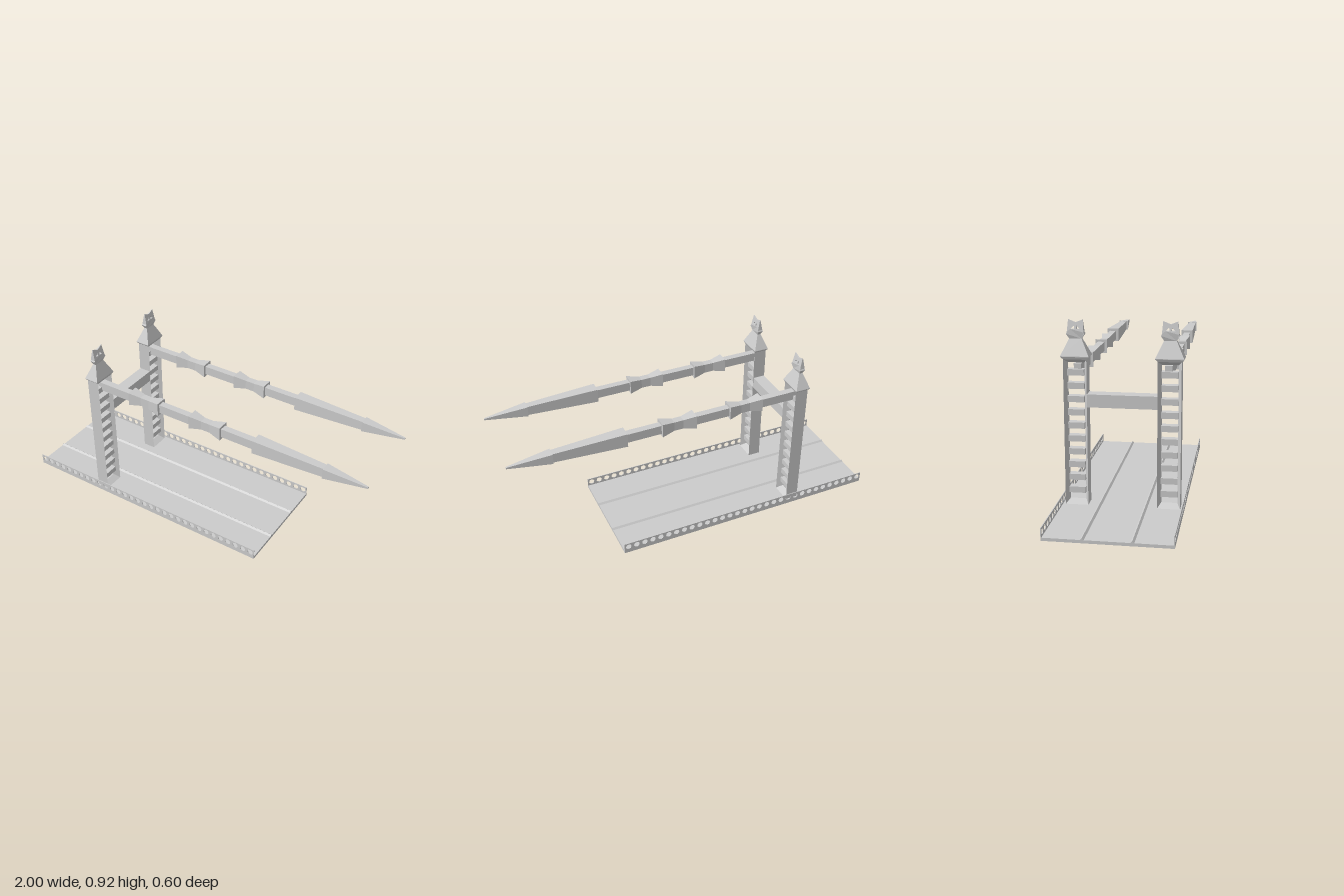
import * as THREE from 'three';

const material = new THREE.MeshStandardMaterial({ color: 0xcccccc, flatShading: true, side: THREE.DoubleSide });

function part(parent, name, geometry, x = 0, y = 0, z = 0) {
  const mesh = new THREE.Mesh(geometry, material);
  mesh.name = name;
  mesh.position.set(x, y, z);
  parent.add(mesh);
  return mesh;
}

// Rectangular sections [x, half height, half depth] joined along x
function loft(stations, capped = true) {
  const corners = [[1, 1], [-1, 1], [-1, -1], [1, -1]];
  const rings = stations.map(([x, hy, hz]) => corners.map(([a, b]) => [x, a * hy, b * hz]));
  const pos = [];
  const quad = (a, b, c, d) => [a, b, c, a, c, d].forEach(p => pos.push(...p));
  for (let s = 0; s < rings.length - 1; s++) {
    for (let i = 0; i < 4; i++) {
      const j = (i + 1) % 4;
      quad(rings[s][i], rings[s][j], rings[s + 1][j], rings[s + 1][i]);
    }
  }
  if (capped) {
    quad(...[...rings[0]].reverse());
    quad(...rings[rings.length - 1]);
  }
  const geometry = new THREE.BufferGeometry();
  geometry.setAttribute('position', new THREE.Float32BufferAttribute(pos, 3));
  geometry.computeVertexNormals();
  return geometry;
}

const shapeOf = points => new THREE.Shape(points.map(p => new THREE.Vector2(...p)));

// Thin side panel pierced by a row of round openings
function railingGeometry(length) {
  const shape = shapeOf([[0, 0], [length, 0], [length, 0.06], [0, 0.06]]);
  const count = 32, step = length / count;
  for (let i = 0; i < count; i++) {
    const hole = [];
    for (let k = 0; k < 8; k++) {
      const a = -k * Math.PI / 4;
      hole.push(new THREE.Vector2((i + 0.5) * step + 0.016 * Math.cos(a), 0.038 + 0.016 * Math.sin(a)));
    }
    shape.holes.push(new THREE.Path(hole));
  }
  return new THREE.ExtrudeGeometry(shape, { depth: 0.004, bevelEnabled: false });
}

// Eared finial with two triangular eyes, thinning towards the top
function finialGeometry() {
  const half = [[0.03, 0.83], [0.044, 0.853], [0.04, 0.86], [0.035, 0.92]];
  const mirrored = [...half].reverse().map(([x, y]) => [-x, y]);
  const shape = shapeOf([...half, [0, 0.906], ...mirrored]);
  for (const s of [1, -1]) {
    shape.holes.push(new THREE.Path([[0.004, 0.875], [0.024, 0.875], [0.007, 0.891]]
      .map(([x, y]) => new THREE.Vector2(s * x, y))));
  }
  const geometry = new THREE.ExtrudeGeometry(shape, { depth: 2, bevelEnabled: false });
  geometry.translate(0, 0, -1);
  const p = geometry.attributes.position;
  for (let i = 0; i < p.count; i++) {
    const y = p.getY(i);
    const t = y < 0.853 ? 0.009 + (y - 0.83) * 0.25 : 0.015 - (y - 0.853) * 0.2;
    p.setZ(i, p.getZ(i) * t);
  }
  geometry.rotateY(Math.PI / 2);
  geometry.computeVertexNormals();
  return geometry;
}

function createTower() {
  const tower = new THREE.Group();
  tower.name = 'tower';
  // Frame whose opening narrows towards its middle
  part(tower, 'towerFrame', loft([
    [-0.035, 0.36, 0.056], [0.035, 0.36, 0.056], [0, 0.34, 0.039], [-0.035, 0.36, 0.056],
  ], false), 0, 0.375);
  for (let i = 0; i < 10; i++) {
    part(tower, 'rung', new THREE.BoxGeometry(0.04, 0.03, 0.08), 0, 0.085 + i * 0.065);
  }
  // Flared cap
  const cap = loft([[0.735, 0.035, 0.056], [0.747, 0.04, 0.068], [0.75, 0.04, 0.068], [0.83, 0.009, 0.03]]);
  part(tower, 'towerCap', cap.rotateZ(Math.PI / 2));
  part(tower, 'finial', finialGeometry());
  return tower;
}

// Square pole with two waisted collars and a long pointed head
function createLance() {
  const lance = new THREE.Group();
  lance.name = 'lance';
  part(lance, 'pole', loft([[-0.555, 0.024, 0.018], [0.41, 0.024, 0.018]]));
  for (const x of [-0.247, 0.128]) {
    part(lance, 'collar', loft([
      [-0.093, 0.037, 0.032], [-0.025, 0.025, 0.019], [0.025, 0.025, 0.019], [0.093, 0.037, 0.032],
    ]), x);
  }
  part(lance, 'lanceHead', loft([[0.405, 0.037, 0.032], [0.785, 0.024, 0.019]]));
  part(lance, 'lanceTip', loft([[0.78, 0.027, 0.027], [1, 0.004, 0.004]]));
  return lance;
}

export function createModel() {
  const model = new THREE.Group();
  model.name = 'gatePlatform';
  const length = 1.47, towerX = -0.55;

  part(model, 'deck', new THREE.BoxGeometry(length, 0.015, 0.592), -1 + length / 2, 0.0075);

  // Crossbeam between the towers
  part(model, 'crossbeam', new THREE.BoxGeometry(0.066, 0.063, 0.337), towerX, 0.537);

  const ridge = new THREE.ExtrudeGeometry(
    shapeOf([[-0.009, 0], [0.009, 0], [0, 0.009]]), { depth: length, bevelEnabled: false });
  ridge.rotateY(Math.PI / 2);

  for (const side of [1, -1]) {
    part(model, 'railing', railingGeometry(length), -1, 0, side * 0.296 - 0.002);
    part(model, 'trackRidge', ridge, -1, 0.015, side * 0.112);

    const tower = createTower();
    tower.position.set(towerX, 0, side * 0.224);
    model.add(tower);

    const lance = createLance();
    lance.position.set(0, 0.687, side * 0.217);
    model.add(lance);
  }
  return model;
}
